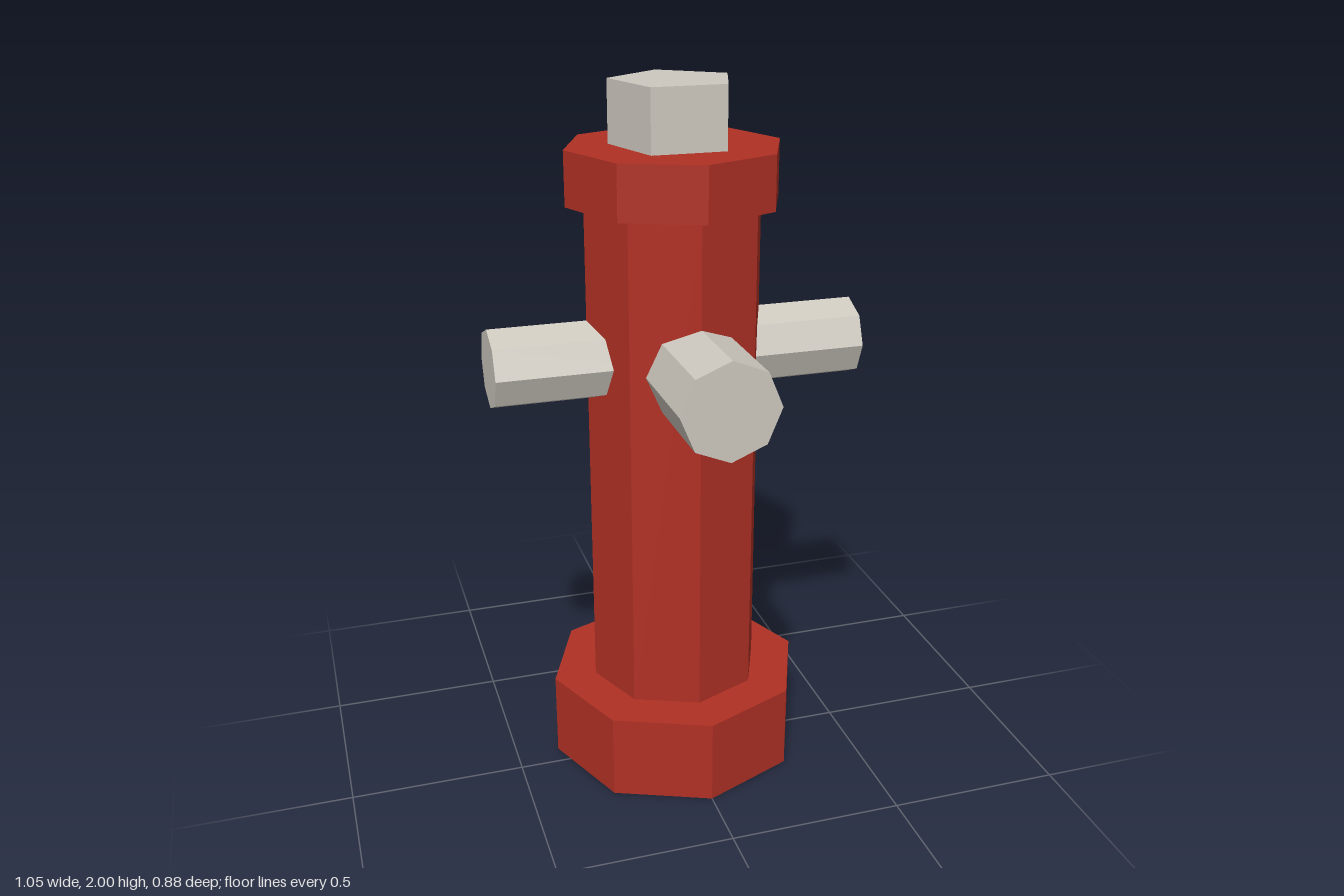
import * as THREE from 'three';

export function createModel() {
  const red = new THREE.MeshStandardMaterial({ color: 0xb03024 });
  red.name = 'hydrant red';
  const grey = new THREE.MeshStandardMaterial({ color: 0xcdc8be });
  grey.name = 'pale metal';

  const model = new THREE.Group();
  model.name = 'hydrant';
  const axisZ = -0.0625; // the column sits back so the front nozzle balances it
  const nozzleY = 1.2525;

  // faceted prism
  function prism(name, radius, length, sides, material) {
    const geometry = new THREE.CylinderGeometry(radius, radius, length, sides).toNonIndexed();
    geometry.computeVertexNormals(); // one normal per facet
    const mesh = new THREE.Mesh(geometry, material);
    mesh.name = name;
    model.add(mesh);
    return mesh;
  }

  // upright parts: name, radius, bottom, top, sides, material
  const column = [
    ['base', 0.375, 0, 0.25, 8, red],
    ['barrel', 0.25, 0.25, 1.68, 8, red],
    ['cap', 0.3, 1.68, 1.83, 8, red],
    ['topNut', 0.175, 1.83, 2, 5, grey],
  ];
  for (const [name, radius, bottom, top, sides, material] of column) {
    const part = prism(name, radius, top - bottom, sides, material);
    part.position.set(0, (bottom + top) / 2, axisZ);
    if (sides === 5) part.rotation.y = Math.PI; // point to the back
  }

  // side nozzles, from the column's axis outwards
  for (const [name, side] of [['leftNozzle', 1], ['rightNozzle', -1]]) {
    const nozzle = prism(name, 0.1125, 0.425, 8, grey);
    nozzle.rotation.z = -side * Math.PI / 2;
    nozzle.position.set(side * 0.3125, nozzleY, axisZ);
  }

  // larger front nozzle
  const front = prism('frontNozzle', 0.1365, 0.4375, 8, grey);
  front.rotation.x = Math.PI / 2;
  front.position.set(0, nozzleY, 0.21875);

  return model;
}
